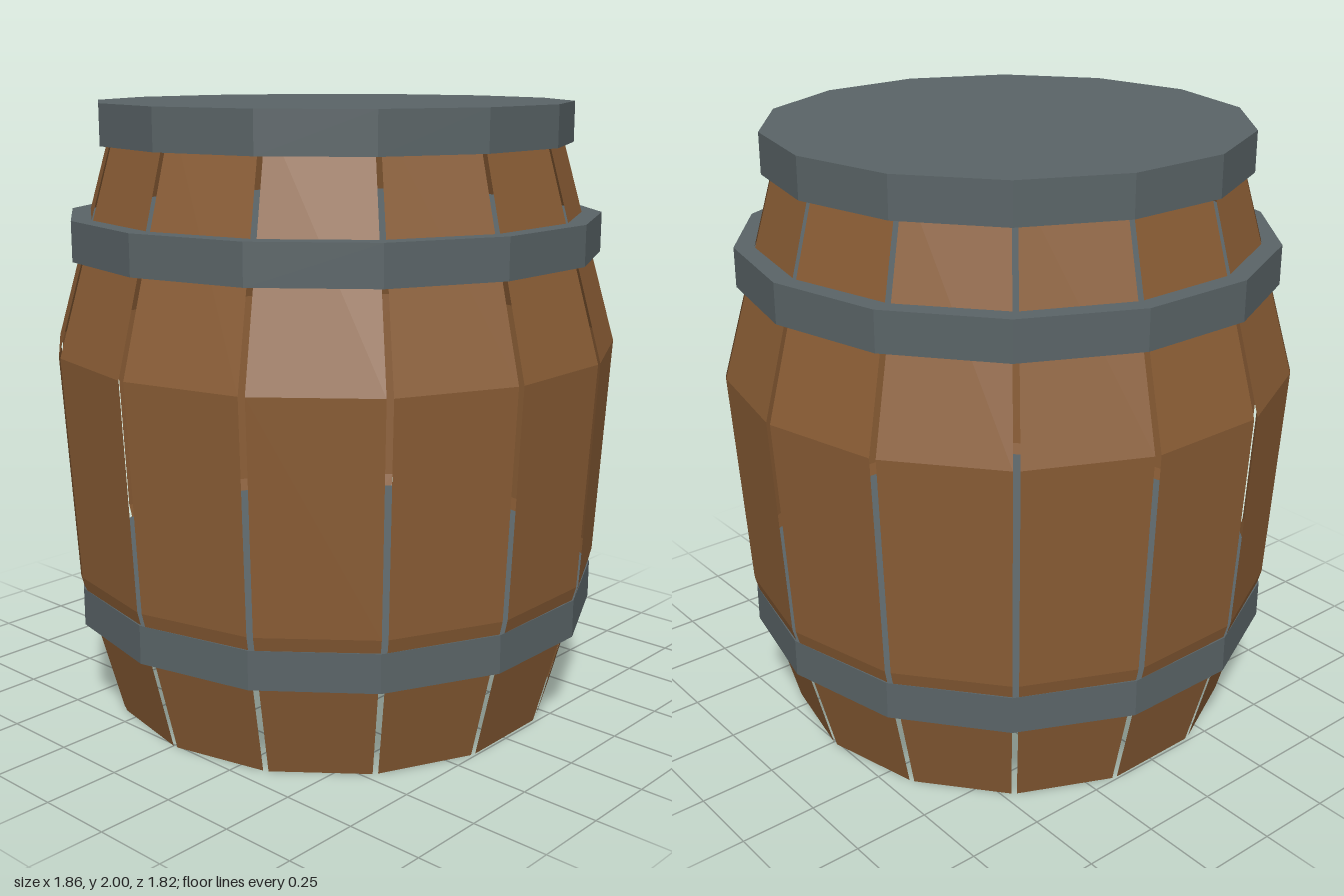
import * as THREE from 'three';

const SIDES = 14;
const STEP = (Math.PI * 2) / SIDES;
const GAP = THREE.MathUtils.degToRad(1.3);

export function createModel() {
  const barrel = new THREE.Group();
  barrel.name = 'barrel';

  const wood = new THREE.MeshStandardMaterial({ color: 0x8a5d35, side: THREE.DoubleSide });
  wood.name = 'wood';
  const iron = new THREE.MeshStandardMaterial({ color: 0x5a6467 });
  iron.name = 'iron';

  // Staves: thin bent planks, with a narrow gap on one side of each
  const profile = [[0.757, 0], [0.888, 0.49], [0.93, 1.22], [0.715, 1.98]]
    .map(([r, y]) => new THREE.Vector2(r, y));
  const staves = new THREE.Group();
  staves.name = 'staves';
  for (let i = 0; i < SIDES; i++) {
    const start = Math.PI / 2 + GAP + i * STEP;
    const geometry = new THREE.LatheGeometry(profile, 1, start, STEP - GAP).toNonIndexed();
    geometry.computeVertexNormals();
    const stave = new THREE.Mesh(geometry, wood);
    stave.name = `stave${i + 1}`;
    staves.add(stave);
  }
  barrel.add(staves);

  // Solid iron bands; the lower one closes the floor and the top one is the lid
  const addBand = (name, radius, bottom, top) => {
    const geometry = new THREE.CylinderGeometry(
      radius, radius, top - bottom, SIDES, 1, false, Math.PI / 2).toNonIndexed();
    geometry.computeVertexNormals();
    const band = new THREE.Mesh(geometry, iron);
    band.name = name;
    band.position.y = (bottom + top) / 2;
    barrel.add(band);
  };
  addBand('lowerHoop', 0.881, 0.32, 0.445);
  addBand('upperHoop', 0.875, 1.517, 1.645);
  addBand('lid', 0.776, 1.87, 2);

  return barrel;
}
